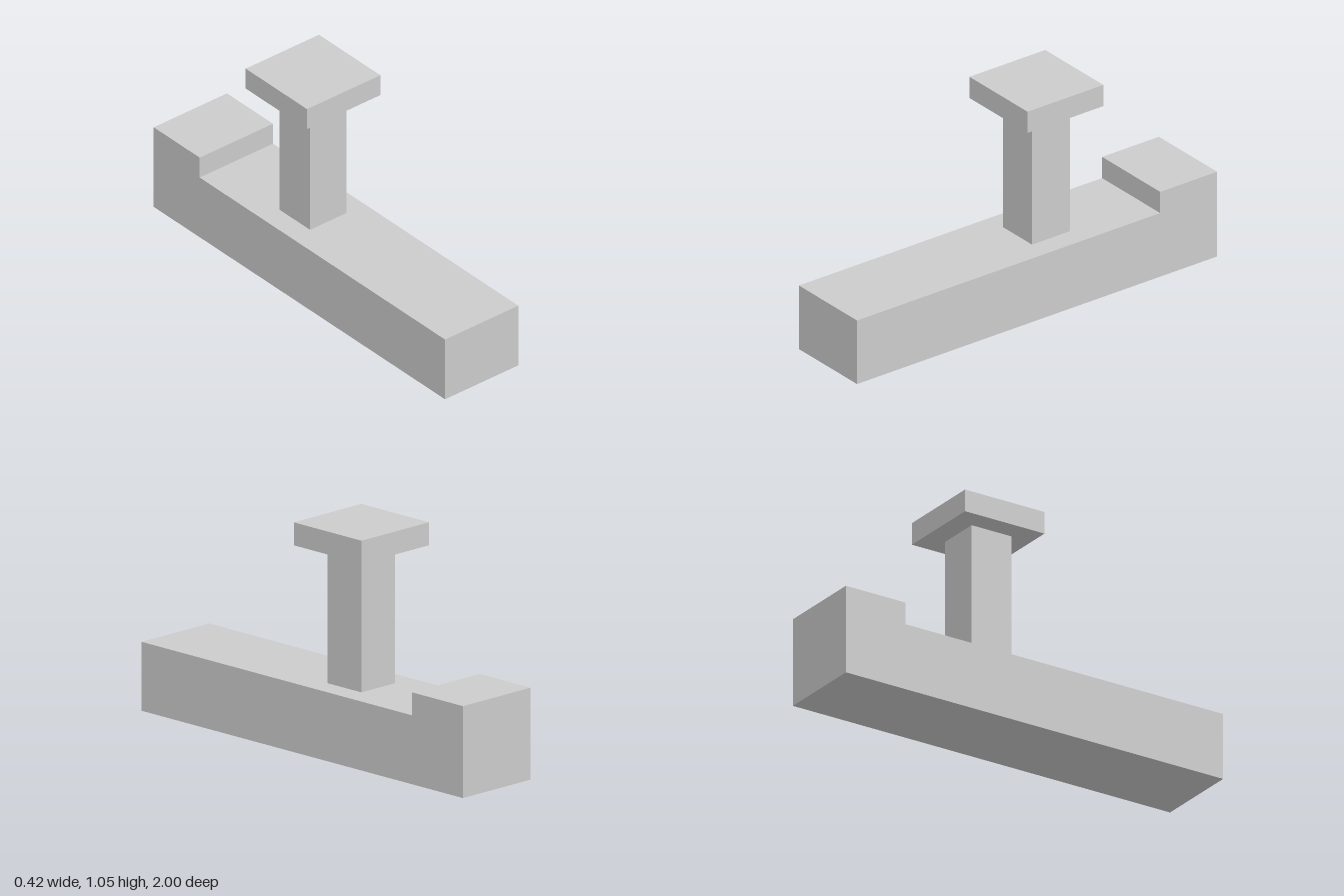
import * as THREE from 'three';

const U = 2 / 19; // module: the base is 19 units long

export function createModel() {
  const model = new THREE.Group();
  const material = new THREE.MeshStandardMaterial({ color: 0xcccccc, flatShading: true });

  const add = (name, geometry) => {
    const mesh = new THREE.Mesh(geometry, material);
    mesh.name = name;
    model.add(mesh);
    return mesh;
  };

  // Long base with a raised step at the back: side profile extruded across the width
  const profile = new THREE.Shape(
    [[-9.5, 0], [9.5, 0], [9.5, 4], [6.5, 4], [6.5, 3], [-9.5, 3]]
      .map(([back, y]) => new THREE.Vector2(back * U, y * U))
  );
  const base = new THREE.ExtrudeGeometry(profile, { depth: 4 * U, bevelEnabled: false });
  base.translate(0, 0, -2 * U).rotateY(Math.PI / 2);
  add('steppedBase', base);

  // Square post and the flat cap on top of it
  const block = (name, width, bottom, height) =>
    add(name, new THREE.BoxGeometry(width * U, height * U, width * U))
      .position.set(0, (bottom + height / 2) * U, -1.5 * U);
  block('post', 2, 3, 6);
  block('cap', 4, 9, 1);

  return model;
}
